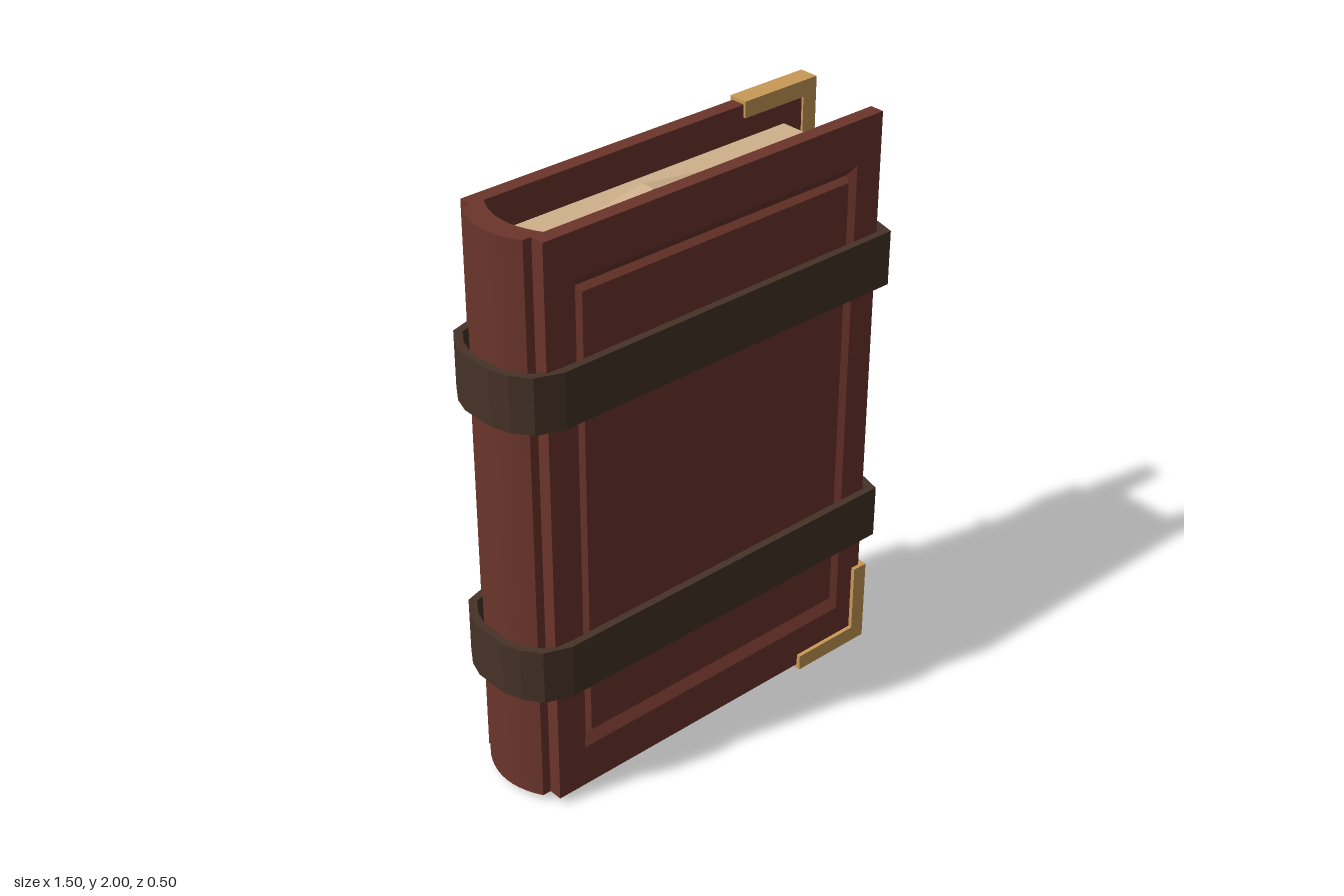
import * as THREE from 'three';

const mat = (color) => new THREE.MeshStandardMaterial({ color, flatShading: true });

export function createModel() {
  const book = new THREE.Group();
  const leather = mat(0x6b352b), strapMat = mat(0x463227), gold = mat(0xc89a57), paper = mat(0xd0b18d);

  const add = (name, geometry, material, parent = book) => {
    const mesh = new THREE.Mesh(geometry, material);
    mesh.name = name;
    parent.add(mesh);
    return mesh;
  };

  // Upright prism from an outline given as [x, z], between two heights
  const toPath = (pts, Type) => new Type(pts.map(([x, z]) => new THREE.Vector2(x, -z)));
  const prism = (pts, y0, y1, hole) => {
    const shape = toPath(pts, THREE.Shape);
    if (hole) shape.holes.push(toPath(hole, THREE.Path));
    return new THREE.ExtrudeGeometry(shape, { depth: y1 - y0, bevelEnabled: false })
      .rotateX(-Math.PI / 2).translate(0, y0, 0);
  };

  // Capped loft through rectangles [x0, x1, y0, y1, z], from the back to the front
  const rectLoft = (rects) => {
    const pos = [], idx = [];
    for (const [x0, x1, y0, y1, z] of rects) pos.push(x0, y0, z, x1, y0, z, x1, y1, z, x0, y1, z);
    for (let r = 0; r < rects.length - 1; r++) {
      for (let i = 0; i < 4; i++) {
        const a = r * 4 + i, b = r * 4 + (i + 1) % 4;
        idx.push(a, b, b + 4, a, b + 4, a + 4);
      }
    }
    const n = (rects.length - 1) * 4;
    idx.push(0, 2, 1, 0, 3, 2, n, n + 1, n + 2, n, n + 2, n + 3);
    const g = new THREE.BufferGeometry();
    g.setAttribute('position', new THREE.Float32BufferAttribute(pos, 3));
    g.setIndex(idx);
    const flat = g.toNonIndexed();
    flat.computeVertexNormals();
    return flat;
  };

  // Covers: boards with a V-groove around a central panel
  const board = [
    [-0.64, 0.688, 0.025, 1.988, 0],
    [-0.64, 0.688, 0.025, 1.988, 0.05],
    [-0.535, 0.587, 0.175, 1.838, 0.05],
    [-0.511, 0.565, 0.207, 1.804, 0.026],
    [-0.502, 0.556, 0.228, 1.788, 0.046],
  ];
  add('frontCover', rectLoft(board), leather).position.z = 0.168;
  const flipped = board.map(([x0, x1, ...rest]) => [-x1, -x0, ...rest]);
  const backCover = add('backCover', rectLoft(flipped), leather);
  backCover.rotation.y = Math.PI;
  backCover.position.z = -0.098;

  // Rounded spine and page block share an arc
  const arc = (endX, midX) => new THREE.QuadraticBezierCurve(
    new THREE.Vector2(endX, -0.1), new THREE.Vector2(2 * midX - endX, 0.035), new THREE.Vector2(endX, 0.17),
  ).getPoints(10).map((p) => [p.x, p.y]);
  const inner = arc(-0.595, -0.635);
  add('spine', prism([...arc(-0.67, -0.71), ...inner.slice().reverse()], 0.025, 1.988), leather);
  add('pageBlock', prism([...inner, [0.58, 0.17], [0.58, -0.1]], 0.137, 1.875), paper);

  // Loose pages: stations [along, z0, z1, reach] joined into bent slips
  // out: 'x' sticks out of the fore edge, otherwise out of the top or bottom
  const loosePage = (name, stations, base, out) => {
    const g = new THREE.BoxGeometry(2, 1, 1, 2, 1, 1);
    const p = g.attributes.position;
    for (let i = 0; i < p.count; i++) {
      const [along, z0, z1, reach] = stations[Math.round(p.getX(i)) + 1];
      const high = out === 'bottom' ? p.getY(i) < 0 : p.getY(i) > 0;
      const v = high ? reach : base;
      const z = p.getZ(i) > 0 ? z1 : z0;
      if (out === 'x') p.setXYZ(i, v, -along, z);
      else p.setXYZ(i, along, v, z);
    }
    // Turning the slip upright: (along, reach) -> (reach, -along) keeps the winding
    g.computeVertexNormals();
    add(name, g, paper);
  };
  loosePage('topLoosePage', [[-0.315, 0.05, 0.1, 1.915], [-0.14, 0.055, 0.105, 1.95], [0.17, 0.01, 0.05, 1.882]], 1.86, 'top');
  loosePage('bottomLoosePage', [[-0.4, -0.03, 0.015, 0.055], [-0.17, -0.045, 0.01, 0], [0.1, -0.04, 0.01, 0.035]], 0.15, 'bottom');
  loosePage('sideLoosePageA', [[-1.64, -0.02, 0.01, 0.6], [-1.05, -0.045, -0.015, 0.655], [-0.375, -0.065, -0.035, 0.655]], 0.57, 'x');
  loosePage('sideLoosePageB', [[-1.5, 0.105, 0.135, 0.6], [-0.85, 0.075, 0.105, 0.62], [-0.2, 0.01, 0.04, 0.655]], 0.57, 'x');

  // Strap outline and its inward offset
  const outer = [
    [-0.748, -0.03], [-0.748, 0.09], [-0.728, 0.155], [-0.685, 0.215], [-0.596, 0.247],
    [0.727, 0.243], [0.747, 0.17], [0.747, -0.12], [0.73, -0.177],
    [-0.596, -0.181], [-0.685, -0.155], [-0.728, -0.09],
  ];
  const t = 0.026;
  const offset = outer.map((p, i) => {
    const a = outer[(i + outer.length - 1) % outer.length], b = outer[(i + 1) % outer.length];
    const normal = (u, v) => new THREE.Vector2(v[1] - u[1], u[0] - v[0]).normalize();
    const n1 = normal(a, p), n2 = normal(p, b);
    const m = n1.clone().add(n2).normalize();
    const k = t / m.dot(n1);
    return [p[0] + m.x * k, p[1] + m.y * k];
  });

  // Two straps, each with a tail, buckle and prong on the back
  [['upper', 1.485], ['lower', 0.525]].forEach(([level, y]) => {
    const g = new THREE.Group();
    g.name = level + 'Strap';
    g.position.y = y;
    book.add(g);
    add('strapBand', prism(outer, -0.094, 0.094, offset), strapMat, g);
    add('strapTail', new THREE.BoxGeometry(0.34, 0.16, 0.02), strapMat, g).position.set(0.14, 0, -0.176);

    // Pointed end of the tail, standing off the strap
    const tip = new THREE.Shape([[0, -0.08], [0.064, 0], [0, 0.08]].map(([a, b]) => new THREE.Vector2(a, b)));
    const tipMesh = add('strapTip', new THREE.ShapeGeometry(tip), strapMat, g);
    tipMesh.rotation.y = Math.PI / 2;
    tipMesh.position.set(-0.03, 0, -0.184);

    // Buckle frame of round bars
    const r = 0.0135;
    for (const s of [-1, 1]) {
      add('buckleSideBar', new THREE.CylinderGeometry(r, r, 0.25, 8), gold, g).position.set(0.26 + s * 0.1615, 0, -0.194);
      const bar = add('buckleLongBar', new THREE.CylinderGeometry(r, r, 0.345, 8), gold, g);
      bar.rotation.z = Math.PI / 2;
      bar.position.set(0.26, s * 0.1115, -0.194);
    }
    const prong = add('prong', new THREE.CylinderGeometry(0.014, 0.014, 0.075, 8), gold, g);
    prong.rotation.set(-Math.PI / 2, 0, -0.5, 'XYZ');
    prong.position.set(0.335, 0, -0.206);
  });

  // L-shaped corner guards: s is the direction of the free arm from the corner
  const corner = (name, yCorner, s, z0, z1) => {
    const w = 0.055;
    const pts = [[0.71, 0], [0.71, 0.3], [0.71 - w, 0.3], [0.71 - w, w], [0.405, w], [0.405, 0]];
    const shape = new THREE.Shape(pts.map(([x, y]) => new THREE.Vector2(x, yCorner + s * y)));
    add(name, new THREE.ExtrudeGeometry(shape, { depth: z1 - z0, bevelEnabled: false }), gold).position.z = z0;
  };
  corner('frontBottomCorner', 0.01, 1, 0.16, 0.232);
  corner('backTopCorner', 2, -1, -0.158, -0.09);

  return book;
}
